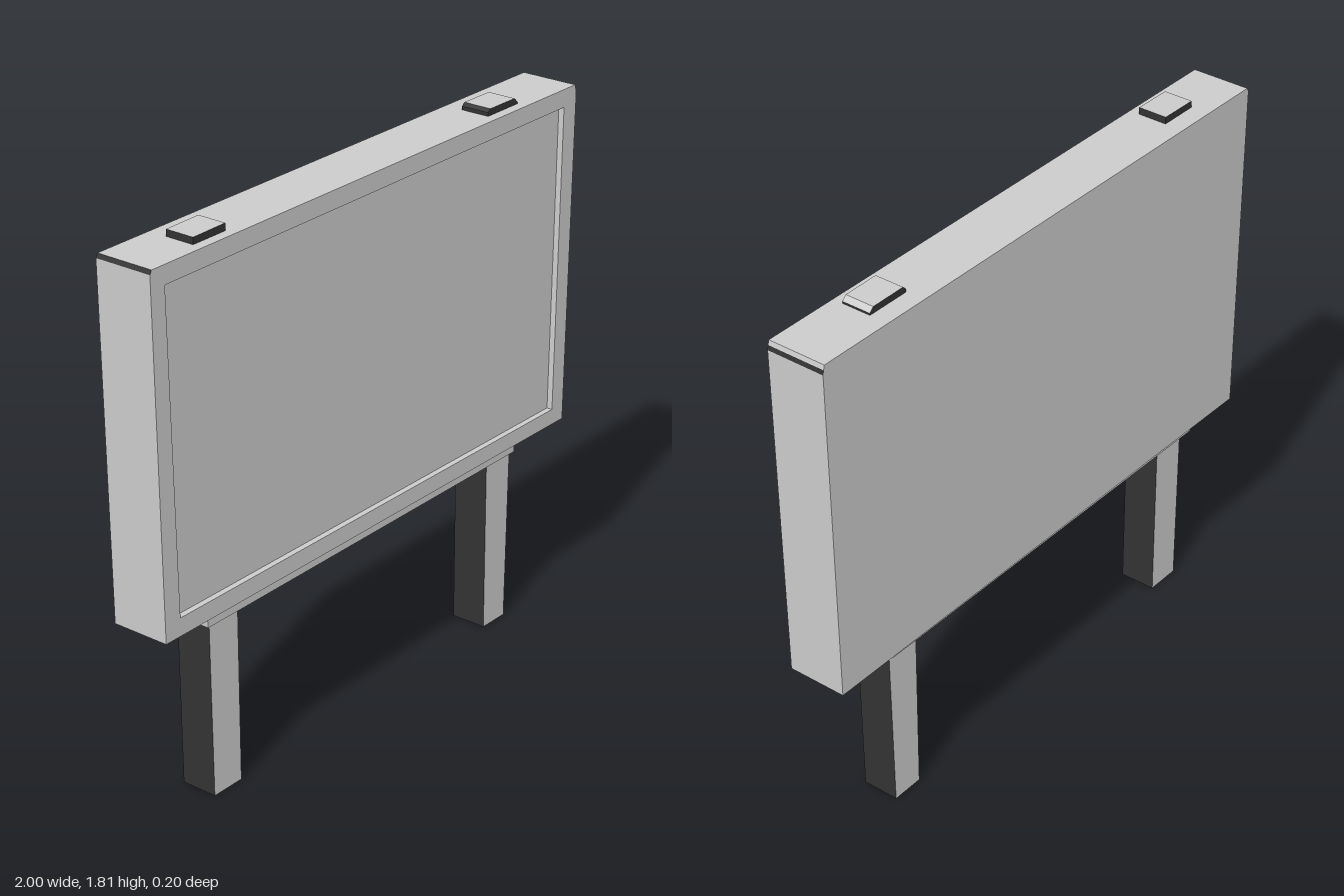
import * as THREE from 'three';
import { mergeGeometries } from 'three/addons/utils/BufferGeometryUtils.js';

const grey = new THREE.MeshStandardMaterial({ color: 0xcccccc, flatShading: true });
const dark = new THREE.MeshStandardMaterial({ color: 0x333333, flatShading: true });

// Side face between two outline points; counter-clockwise outlines face outwards
function wall([ax, ay], [bx, by], z0, z1) {
  const g = new THREE.BufferGeometry();
  g.setAttribute('position', new THREE.Float32BufferAttribute(
    [ax, ay, z0, bx, by, z0, bx, by, z1, ax, ay, z0, bx, by, z1, ax, ay, z1], 3));
  g.computeVertexNormals();
  return g;
}

// Flat face of an outline at depth z, optionally with a hole
function face(points, z, hole) {
  const toVec = ([x, y]) => new THREE.Vector2(x, y);
  const shape = new THREE.Shape(points.map(toVec));
  if (hole) shape.holes.push(new THREE.Path(hole.map(toVec)));
  const g = new THREE.ShapeGeometry(shape).toNonIndexed();
  g.deleteAttribute('uv');
  return g.translate(0, 0, z);
}

const backFace = (points, z) =>
  face(points.map(([x, y]) => [-x, y]).reverse(), 0).rotateY(Math.PI).translate(0, 0, z);

// Prism along z; darkEdges lists the outline edges painted dark.
// A recess outline opens the front onto a sunken screen.
function prism(name, points, z0, z1, { darkEdges = [], darkFaces = false, recess, depth = 0.02 } = {}) {
  const greys = [], darks = [];
  points.forEach((p, i) => {
    const next = points[(i + 1) % points.length];
    (darkEdges.includes(i) ? darks : greys).push(wall(p, next, z0, z1));
  });
  (darkFaces ? darks : greys).push(face(points, z1, recess), backFace(points, z0));
  if (recess) {
    greys.push(face(recess, z1 - depth));
    recess.forEach((p, i) => {
      const next = recess[(i + 1) % recess.length];
      (i === 3 ? darks : greys).push(wall(next, p, z1 - depth, z1));
    });
  }
  const group = new THREE.Group();
  group.name = name;
  for (const [list, material, label] of [[greys, grey, 'Body'], [darks, dark, 'DarkSides']]) {
    if (!list.length) continue;
    const mesh = new THREE.Mesh(mergeGeometries(list), material);
    mesh.name = name + label;
    group.add(mesh);
  }
  return group;
}

export function createModel() {
  const model = new THREE.Group();
  model.name = 'billboard';

  // Slightly crooked cabinet with sunken screen and dark trim at the top ends
  model.add(prism('cabinet', [
    [-0.98, 0.62], [0.98, 0.63], [1, 1.76], [0.997, 1.775], [0.993, 1.79],
    [-0.993, 1.78], [-1, 1.767],
  ], -0.1, 0.1, {
    darkEdges: [0, 2, 5],
    recess: [[-0.917, 0.68], [0.92, 0.684], [0.935, 1.73], [-0.942, 1.72]],
  }));

  // Rail under the cabinet
  model.add(prism('rail', [[-0.785, 0.586], [0.727, 0.597], [0.73, 0.63], [-0.787, 0.621]],
    -0.077, 0.087));

  // Legs, each a little tapered
  model.add(prism('rightLeg', [[-0.765, 0], [-0.643, 0], [-0.646, 0.59], [-0.773, 0.59]],
    -0.045, 0.08, { darkEdges: [0, 1, 3] }));
  model.add(prism('leftLeg', [[0.588, 0], [0.7, 0], [0.711, 0.597], [0.586, 0.597]],
    -0.045, 0.08, { darkEdges: [0, 1, 3] }));

  // Small caps on top of the cabinet
  model.add(prism('rightCap', [[-0.785, 1.778], [-0.65, 1.778], [-0.65, 1.805], [-0.785, 1.803]],
    -0.035, 0.065, { darkEdges: [0, 1, 3], darkFaces: true }));
  model.add(prism('leftCap', [[0.577, 1.785], [0.73, 1.785], [0.73, 1.795], [0.715, 1.81], [0.588, 1.81], [0.577, 1.8]],
    -0.035, 0.065, { darkEdges: [0, 1, 4, 5], darkFaces: true }));

  return model;
}
